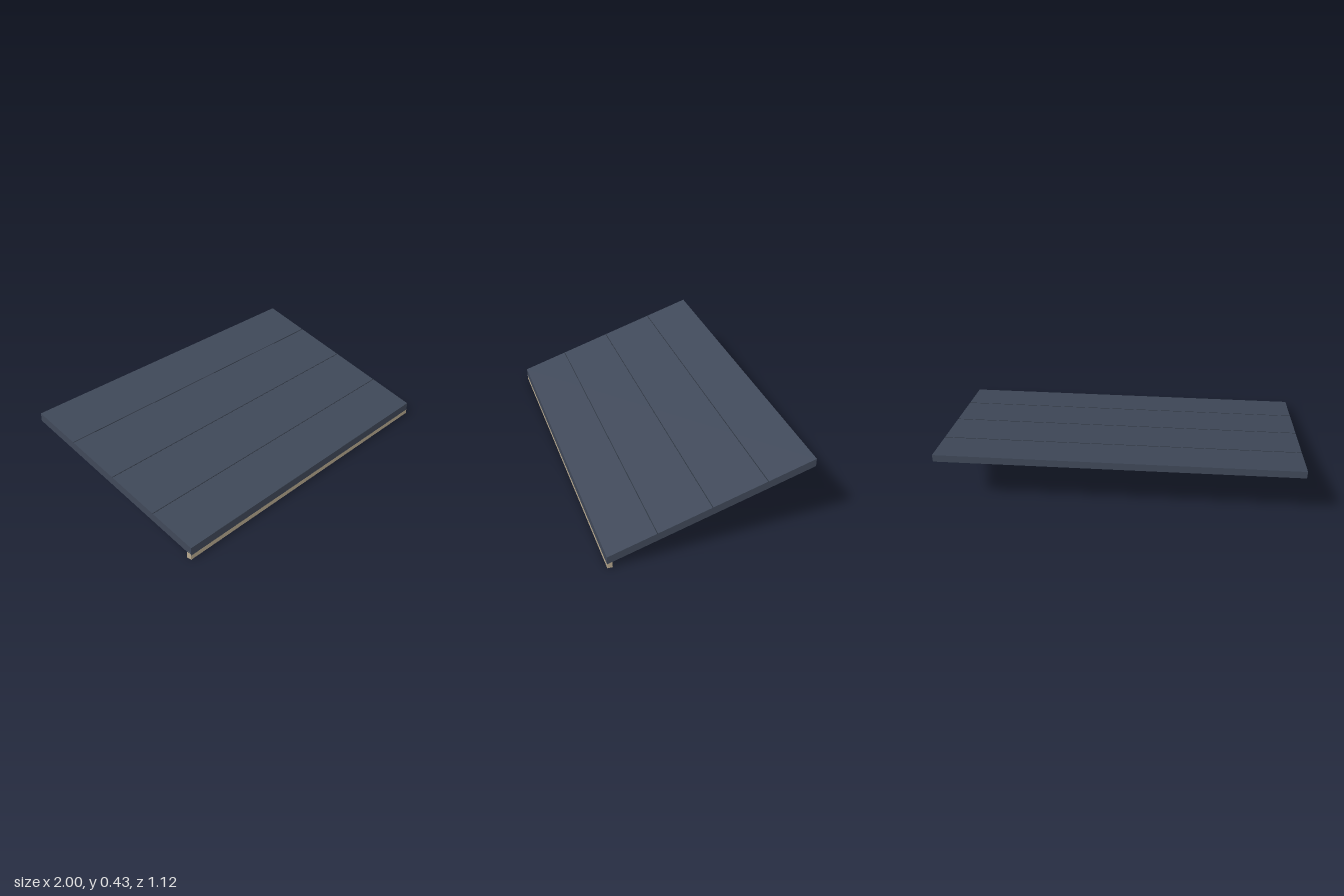
import * as THREE from 'three';

const material = (name, color) => {
  const m = new THREE.MeshStandardMaterial({ color });
  m.name = name;
  return m;
};

export function createModel() {
  const group = new THREE.Group();
  const slate = material('slate panel', 0x404959);
  const seamDark = material('dark seam', 0x2b323d);
  const beige = material('beige trim', 0xb8a98f);

  const add = (name, geometry, mat) => {
    const mesh = new THREE.Mesh(geometry, mat);
    mesh.name = name;
    group.add(mesh);
    return mesh;
  };

  // Sloping roof: side profile in (z, y) with upright front and back edges
  const half = 0.558, frontTop = 0.071, backTop = 0.425, thick = 0.045;
  const slope = (backTop - frontTop) / (2 * half);
  const topAt = (z) => frontTop + slope * (half - z);
  const profile = new THREE.Shape([
    new THREE.Vector2(half, frontTop - thick),
    new THREE.Vector2(half, frontTop),
    new THREE.Vector2(-half, backTop),
    new THREE.Vector2(-half, backTop - thick),
  ]);
  const roof = new THREE.ExtrudeGeometry(profile, { depth: 2, bevelEnabled: false });
  roof.translate(0, 0, -1).rotateY(-Math.PI / 2);
  add('roofSlab', roof, slate);

  // Hairline seams dividing the roof into four panels
  for (const z of [0.293, 0, -0.297]) {
    const seam = add('panelSeam', new THREE.BoxGeometry(2, 0.002, 0.004), seamDark);
    seam.position.set(0, topAt(z), z);
    seam.rotation.x = Math.atan(slope);
  }

  // Trim strip under the front edge, its top sunk into the roof
  add('frontTrim', new THREE.BoxGeometry(2, 0.05, 0.028), beige).position.set(0, 0.025, 0.543);

  // Round support rods beneath the roof, parallel to it
  const from = new THREE.Vector3(0, 0.023, 0.405);
  const to = new THREE.Vector3(0, 0.254, -0.309);
  const direction = to.clone().sub(from);
  for (const side of [-1, 1]) {
    const rod = add(side > 0 ? 'leftRod' : 'rightRod',
      new THREE.CylinderGeometry(0.0125, 0.0125, direction.length(), 16), beige);
    rod.position.addVectors(from, to).multiplyScalar(0.5).setX(side * 0.84);
    rod.quaternion.setFromUnitVectors(new THREE.Vector3(0, 1, 0), direction.clone().normalize());
  }

  return group;
}
